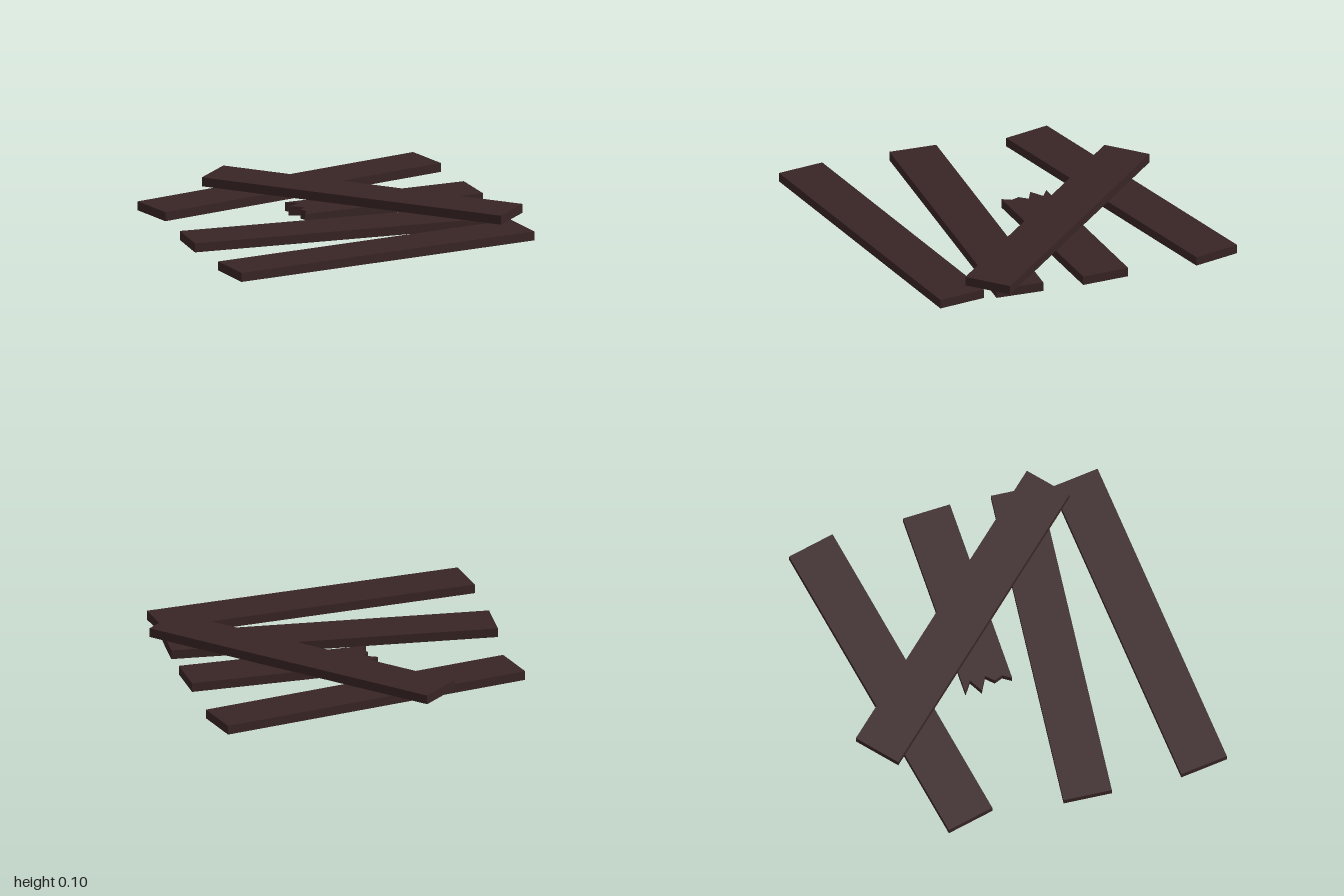
import * as THREE from 'three';

const THICK = 0.05;
const WIDTH = 0.267;
const LENGTH = 1.79;

export function createModel() {
  const group = new THREE.Group();
  const darkWood = new THREE.MeshStandardMaterial({ color: 0x382424 });
  darkWood.name = 'darkWood';

  // Whole planks: name, centre x, centre z, turn about y, layer
  const planks = [
    ['backPlank', -0.037, -0.65, 0.248, 0],
    ['middlePlank', -0.037, 0.245, -0.0335, 0],
    ['frontPlank', -0.037, 0.735, 0.146, 0],
    ['crossPlank', 0.213, -0.185, -0.795, 1],
  ];
  for (const [name, x, z, turn, layer] of planks) {
    const plank = new THREE.Mesh(new THREE.BoxGeometry(LENGTH, THICK, WIDTH), darkWood);
    plank.name = name;
    plank.position.set(x, THICK * (layer + 0.5), z);
    plank.rotation.y = turn;
    group.add(plank);
  }

  // Snapped plank: outline in x and z, with a splintered left end
  const outline = [
    [0.87, -0.085], [0.855, -0.35],
    [-0.196, -0.275], [-0.135, -0.235], [-0.207, -0.187], [-0.13, -0.15],
    [-0.168, -0.105], [-0.15, -0.06], [-0.178, -0.01],
  ];
  const shape = new THREE.Shape(outline.map(([x, z]) => new THREE.Vector2(x, -z)));
  const geometry = new THREE.ExtrudeGeometry(shape, { depth: THICK, bevelEnabled: false });
  geometry.rotateX(-Math.PI / 2);
  const broken = new THREE.Mesh(geometry, darkWood);
  broken.name = 'brokenPlank';
  group.add(broken);

  return group;
}
